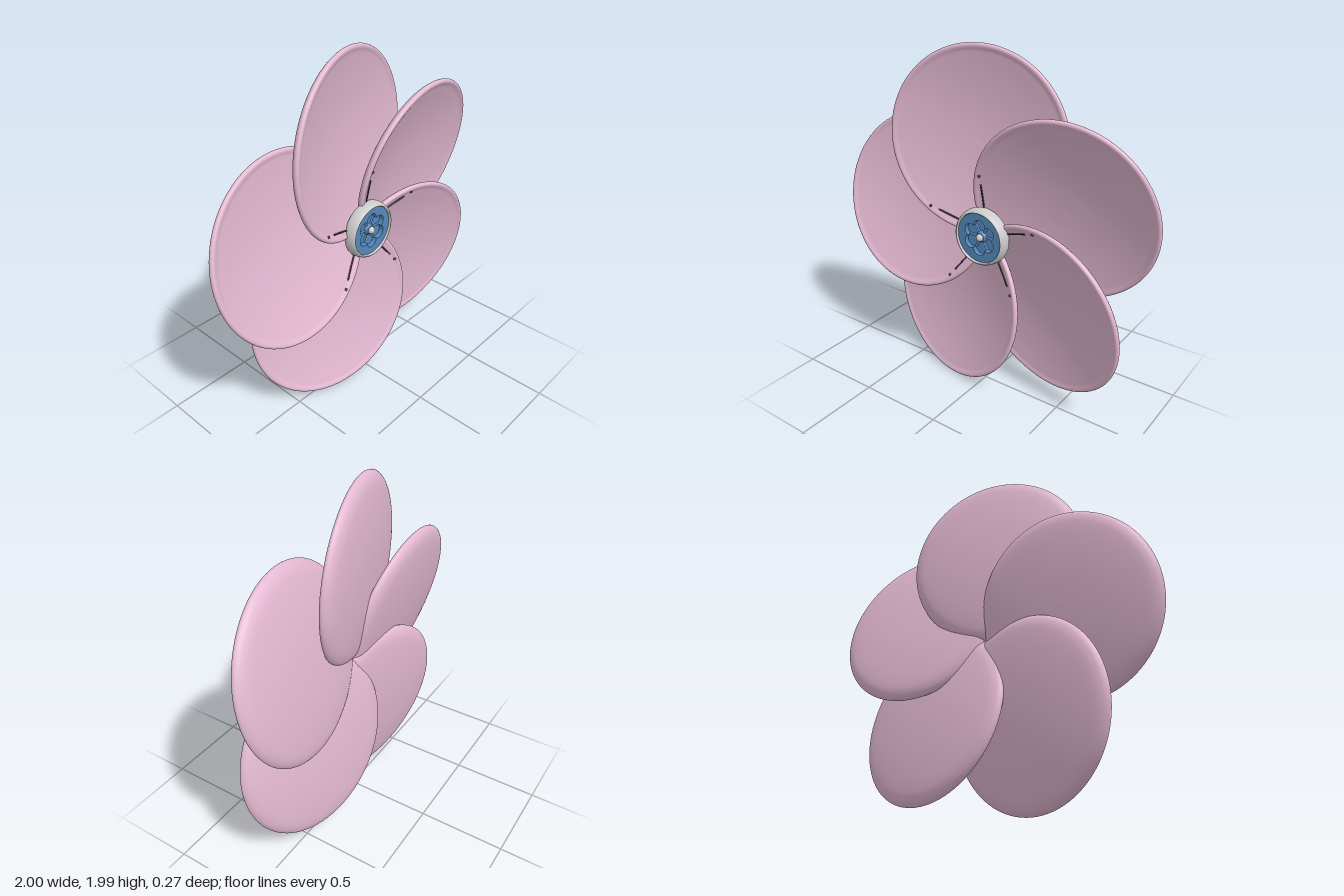
import * as THREE from 'three';

const V2 = (x, y) => new THREE.Vector2(x, y);
const mat = (color) => new THREE.MeshStandardMaterial({ color });
const PETALS = 5, DIST = 0.514, TILT = 0.228;
const FIRST = THREE.MathUtils.degToRad(26.4);

function add(parent, name, geometry, material) {
  const mesh = new THREE.Mesh(geometry, material);
  mesh.name = name;
  parent.add(mesh);
  return mesh;
}

// Smooth lathe around the z axis; profile runs from back to front as [radius, z]
function latheZ(profile, samples, segments) {
  const curve = new THREE.SplineCurve(profile.map(([r, z]) => V2(r, z)));
  const pts = curve.getPoints(samples).map((p) => V2(Math.max(p.x, 0), p.y));
  return new THREE.LatheGeometry(pts, segments).rotateX(Math.PI / 2);
}

// Height of the concave front face of a petal at radius r from its middle
const dishFront = (r) => -0.042 + 0.052 * (r / 0.47) ** 2;

// Shallow dish with a soft rounded rim
function petalGeometry() {
  const back = [[0, -0.075], [0.12, -0.073], [0.24, -0.067], [0.36, -0.055], [0.45, -0.04], [0.49, -0.025]];
  const rim = [[0.509, -0.01], [0.517, 0.004], [0.513, 0.016], [0.503, 0.02], [0.492, 0.0175]];
  const front = [0.478, 0.45, 0.36, 0.24, 0.12, 0].map((r) => [r, dishFront(r)]);
  return latheZ([...back, ...rim, ...front], 80, 96);
}

// Outline of six overlapping circles, the recess in the hub
function lobedOutline() {
  const pts = [], reach = 0.066, radius = 0.038;
  for (let i = 0; i < 120; i++) {
    const a = (i / 120) * Math.PI * 2;
    const off = (a % (Math.PI / 3)) - Math.PI / 6;
    const r = reach * Math.cos(off) + Math.sqrt(radius ** 2 - (reach * Math.sin(off)) ** 2);
    pts.push(V2(Math.cos(a) * r, Math.sin(a) * r));
  }
  return new THREE.Path(pts);
}

function createHub(grey, blue) {
  const hub = new THREE.Group();
  hub.name = 'hub';
  // Domed cup, widest near the petals, with a rounded lip
  add(hub, 'hubCup', latheZ([
    [0, -0.014], [0.05, -0.004], [0.12, 0.012], [0.157, 0.03], [0.166, 0.05],
    [0.164, 0.075], [0.157, 0.096], [0.15, 0.103], [0.144, 0.098], [0.142, 0.075], [0.13, 0.05], [0, 0.05],
  ], 72, 64), grey);

  // Blue face with a lobed recess
  const face = new THREE.Shape().absarc(0, 0, 0.145, 0, Math.PI * 2);
  face.holes.push(lobedOutline());
  const plate = add(hub, 'hubFace', new THREE.ExtrudeGeometry(face, {
    depth: 0.032, bevelEnabled: false, curveSegments: 48,
  }), blue);
  plate.position.z = 0.058;
  add(hub, 'recessFloor', new THREE.CircleGeometry(0.12, 48), blue).position.z = 0.062;

  // Low ribs between the lobes
  for (let i = 0; i < 6; i++) {
    const a = (i * Math.PI) / 3;
    const rib = add(hub, 'recessRib', new THREE.CylinderGeometry(0.007, 0.007, 0.06, 12), blue);
    rib.position.set(Math.cos(a) * 0.05, Math.sin(a) * 0.05, 0.062);
    rib.rotation.z = a - Math.PI / 2;
  }
  add(hub, 'recessBoss', new THREE.CylinderGeometry(0.024, 0.036, 0.02, 32).rotateX(Math.PI / 2), blue)
    .position.z = 0.071;
  add(hub, 'centreKnob', new THREE.SphereGeometry(0.021, 24, 16), grey).position.z = 0.084;
  return hub;
}

export function createModel() {
  const root = new THREE.Group();
  root.name = 'flower';
  const pink = mat(0xe2b8d0), blue = mat(0x5588bb), grey = mat(0xcccccc), dark = mat(0x4a3a45);
  const flower = new THREE.Group();
  flower.name = 'flowerHead';
  flower.position.set(0.02, 0.976, 0);
  root.add(flower);

  const petalGeo = petalGeometry();
  const dotGeo = new THREE.SphereGeometry(0.008, 12, 8);
  // Stamen points lie on the dish, given by distance from the hub centre
  const lineAngle = Math.PI / 2 - FIRST;
  const onDish = (d) => {
    const x = Math.cos(lineAngle) * d - DIST;
    const y = (Math.sin(lineAngle) * d) / Math.cos(TILT);
    return new THREE.Vector3(x, y, dishFront(Math.hypot(x, y)) + 0.002);
  };
  const stamenCurve = new THREE.CatmullRomCurve3([0.15, 0.2, 0.26, 0.31].map(onDish));
  const stamenGeo = new THREE.TubeGeometry(stamenCurve, 12, 0.0045, 8);

  // Petals, each twisted about its own radius so they overlap like fan blades
  for (let i = 0; i < PETALS; i++) {
    const pivot = new THREE.Group();
    pivot.name = 'petalGroup';
    pivot.rotation.set(TILT, 0, FIRST + (i * Math.PI * 2) / PETALS, 'ZYX');
    const blade = new THREE.Group();
    blade.position.x = DIST;
    blade.name = 'blade';
    pivot.add(blade);
    add(blade, 'petal', petalGeo, pink);
    add(blade, 'stamen', stamenGeo, dark);
    add(blade, 'stamenTip', dotGeo, dark).position.copy(onDish(0.36));
    flower.add(pivot);
  }

  flower.add(createHub(grey, blue));
  return root;
}
